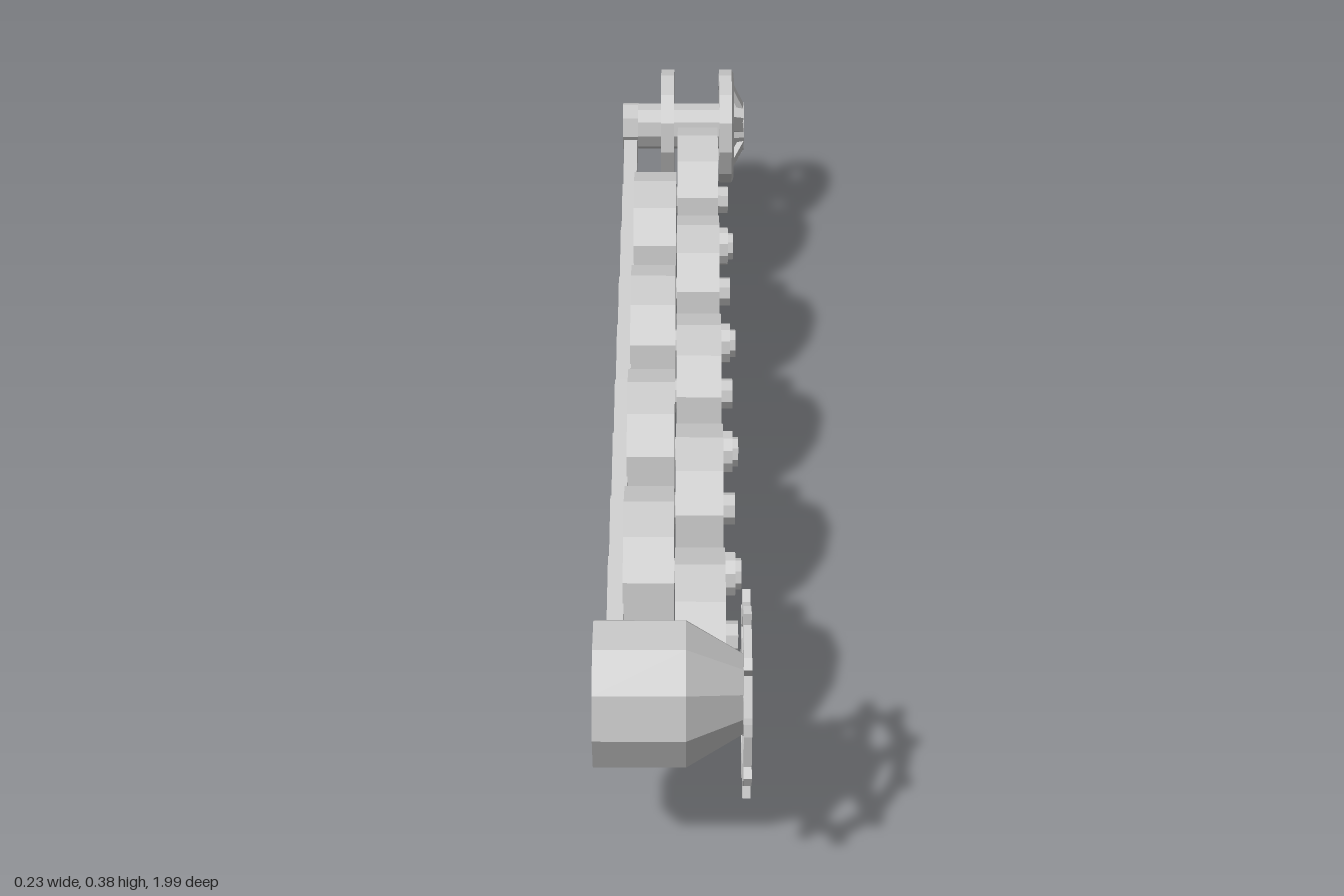
import * as THREE from 'three';

const mat = new THREE.MeshStandardMaterial({ color: 0xcccccc, flatShading: true });
const openMat = new THREE.MeshStandardMaterial({ color: 0xcccccc, flatShading: true, side: THREE.DoubleSide });

function add(parent, name, geo, material = mat) {
  const m = new THREE.Mesh(geo, material);
  m.name = name;
  parent.add(m);
  return m;
}

// Cylinder or cone running along x from x0 (radius r0) to x1 (radius r1)
function rod(parent, name, x0, x1, r0, r1, sides, y = 0, z = 0) {
  const geo = new THREE.CylinderGeometry(r1, r0, x1 - x0, sides);
  geo.rotateZ(-Math.PI / 2).translate((x0 + x1) / 2, y, z);
  return add(parent, name, geo);
}

// Lathe around the x axis; profile points are [radius, x]
function spun(parent, name, pts, sides, material) {
  const geo = new THREE.LatheGeometry(pts.map(([r, x]) => new THREE.Vector2(r, x)), sides);
  return add(parent, name, geo.rotateZ(-Math.PI / 2), material);
}

// Flat bar in the y-z plane, rear end raised by the tilt, reaching ahead and behind its pivot
function bar(parent, name, y, z, ahead, behind, height, tilt) {
  const geo = new THREE.BoxGeometry(0.024, height, ahead + behind);
  geo.translate(0, 0, (ahead - behind) / 2).rotateX(tilt).translate(-0.093, y, z);
  return add(parent, name, geo);
}

const polar = (r, a) => new THREE.Vector2(r * Math.cos(a), r * Math.sin(a));
const deg = Math.PI / 180;

function roadWheels(root) {
  const y = 0.131;
  for (let i = 0; i < 9; i++) {
    const outer = i % 2 === 0;
    const z = (outer ? 0.598 : 0.605) - 0.164 * i;
    const g = new THREE.Group();
    g.name = outer ? 'outerRoadWheel' : 'innerRoadWheel';
    g.position.set(0, y, z);
    root.add(g);
    if (outer) {
      rod(g, 'wheelDisc', -0.006, 0.066, 0.131, 0.131, 12);
      rod(g, 'axle', -0.085, 0.085, 0.025, 0.025, 8);
    } else {
      rod(g, 'wheelDisc', -0.082, -0.008, 0.131, 0.131, 12);
      rod(g, 'axle', -0.085, 0.092, 0.024, 0.024, 8);
      rod(g, 'axleCollar', 0.068, 0.083, 0.034, 0.034, 10);
    }
    bar(g, 'swingArm', 0, 0, 0.04, 0.13, 0.045, 0.31);
  }
}

function driveSprocket(root) {
  const g = new THREE.Group();
  g.name = 'driveSprocket';
  g.position.set(0, 0.235, 0.858);
  root.add(g);

  // Toothed plate with five windows
  const outline = [];
  for (let i = 0; i < 10; i++) {
    const a = (90 + 36 * i) * deg;
    outline.push(polar(0.124, a - 5 * deg), polar(0.141, a - 3.5 * deg),
      polar(0.141, a + 3.5 * deg), polar(0.124, a + 5 * deg));
  }
  const shape = new THREE.Shape(outline);
  for (let i = 0; i < 5; i++) {
    const a = (-90 + 72 * i) * deg;
    shape.holes.push(new THREE.Path([
      polar(0.058, a - 22 * deg), polar(0.1, a - 27 * deg), polar(0.104, a),
      polar(0.1, a + 27 * deg), polar(0.058, a + 22 * deg)]));
  }
  const plate = new THREE.ExtrudeGeometry(shape, { depth: 0.011, bevelEnabled: false });
  add(g, 'toothedPlate', plate.rotateY(Math.PI / 2).translate(0.086, 0, 0));

  // Hollow drive housing, open on the inner side
  spun(g, 'driveHousing', [[0.103, -0.115], [0.103, 0.01], [0.056, 0.088]], 10, openMat);
}

function idler(root) {
  const g = new THREE.Group();
  g.name = 'idler';
  g.position.set(0, 0.188, -0.894);
  root.add(g);

  rod(g, 'axle', -0.08, 0.09, 0.042, 0.042, 10);
  rod(g, 'axleEnd', -0.108, -0.08, 0.045, 0.045, 8);
  rod(g, 'innerDisc', -0.037, -0.013, 0.105, 0.105, 12);
  spun(g, 'outerRim', [[0.105, 0.07], [0.105, 0.093], [0.098, 0.097], [0.08, 0.097],
    [0.08, 0.07], [0.105, 0.07]], 12);
  rod(g, 'hubCap', 0.09, 0.116, 0.05, 0.045, 10);

  // Spokes sloping outward from rim to hub
  for (let i = 0; i < 6; i++) {
    const spoke = new THREE.BoxGeometry(0.01, 0.058, 0.026);
    spoke.rotateZ(0.45).translate(0.099, 0.064, 0).rotateX(i * Math.PI / 3);
    add(g, 'spoke', spoke);
  }
  bar(g, 'crankArm', 0, 0, 0.1, 0.01, 0.045, 0.75);
}

export function createModel() {
  const root = new THREE.Group();
  root.name = 'runningGear';
  roadWheels(root);
  driveSprocket(root);
  idler(root);
  return root;
}
